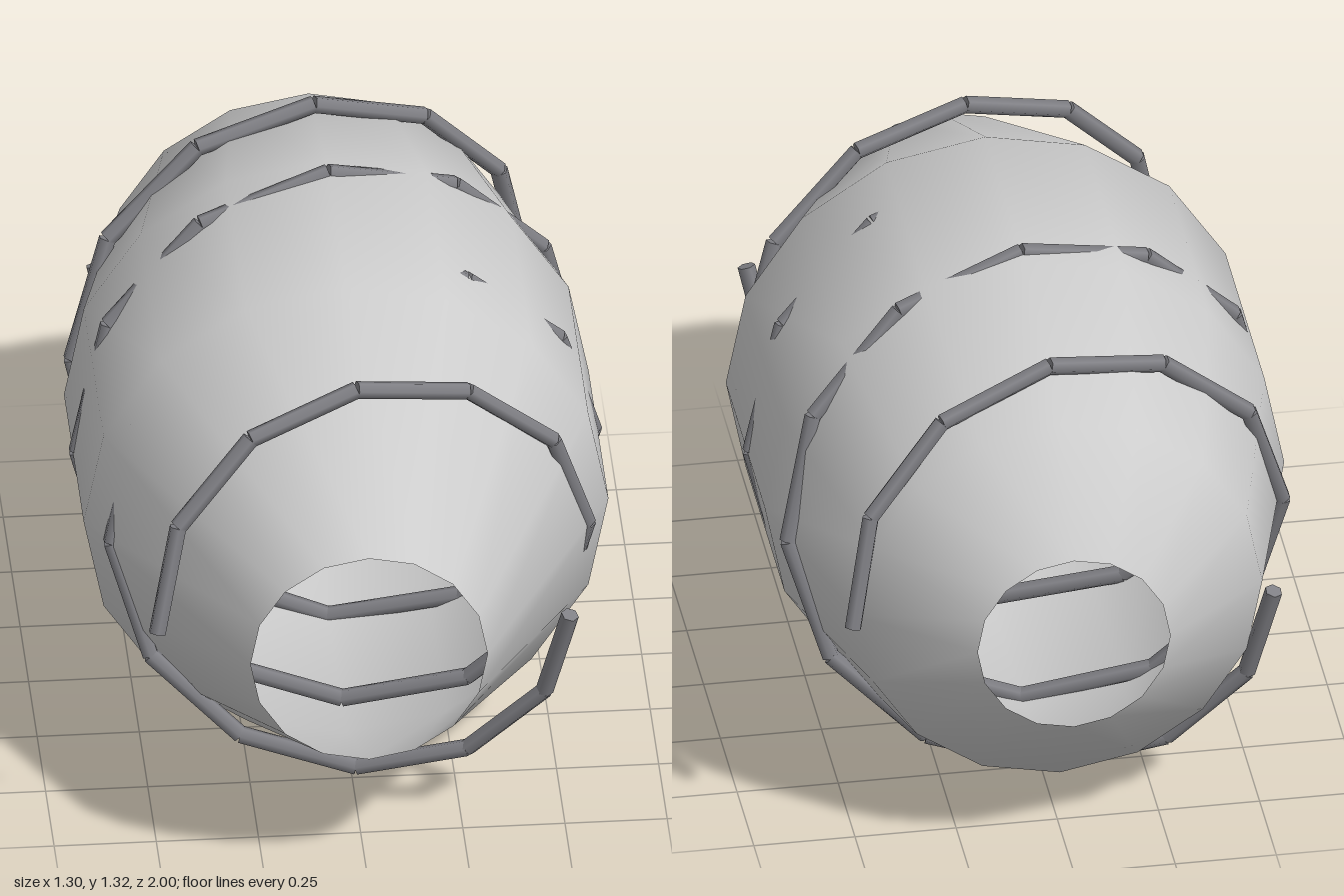
import * as THREE from 'three';

const CENTRE_Y = 0.665;

export function createModel() {
  const model = new THREE.Group();
  const shellGrey = new THREE.MeshStandardMaterial({ color: 0xcccccc, side: THREE.DoubleSide });
  shellGrey.name = 'light grey';
  const strandGrey = new THREE.MeshStandardMaterial({ color: 0x808085 });
  strandGrey.name = 'dark grey';

  // Open barrel: profile of radius against length, turned to lie along z
  const profile = [[0.238, -1], [0.5, -0.79], [0.642, -0.26], [0.642, 0.32], [0.29, 1]]
    .map(([r, z]) => new THREE.Vector2(r, z));
  const shell = new THREE.Mesh(new THREE.LatheGeometry(profile, 16), shellGrey);
  shell.name = 'barrelShell';
  shell.rotation.x = Math.PI / 2;
  shell.position.y = CENTRE_Y;
  model.add(shell);

  // Helix radius at each quarter turn, from the front end to the back end
  const radii = [0.505, 0.543, 0.582, 0.612, 0.632, 0.639, 0.61, 0.57, 0.52];
  const stepsPerQuarter = 3;
  const steps = (radii.length - 1) * stepsPerQuarter;

  const strandPoint = (i, startAngle) => {
    const q = Math.min(Math.floor(i / stepsPerQuarter), radii.length - 2);
    const r = THREE.MathUtils.lerp(radii[q], radii[q + 1], i / stepsPerQuarter - q);
    const a = startAngle - (i / stepsPerQuarter) * Math.PI / 2;
    const z = 0.84 - 1.68 * i / steps;
    return new THREE.Vector3(r * Math.cos(a), CENTRE_Y + r * Math.sin(a), z);
  };

  // Two opposite strands, each a chain of short straight rods
  const up = new THREE.Vector3(0, 1, 0);
  [['leftStrand', 0], ['rightStrand', Math.PI]].forEach(([name, startAngle]) => {
    const strand = new THREE.Group();
    strand.name = name;
    for (let i = 0; i < steps; i++) {
      const a = strandPoint(i, startAngle);
      const b = strandPoint(i + 1, startAngle);
      const dir = b.clone().sub(a);
      const rod = new THREE.Mesh(
        new THREE.CylinderGeometry(0.022, 0.022, dir.length(), 6), strandGrey);
      rod.name = 'strandRod';
      rod.position.copy(a).add(b).multiplyScalar(0.5);
      rod.quaternion.setFromUnitVectors(up, dir.normalize());
      strand.add(rod);
    }
    model.add(strand);
  });

  return model;
}
